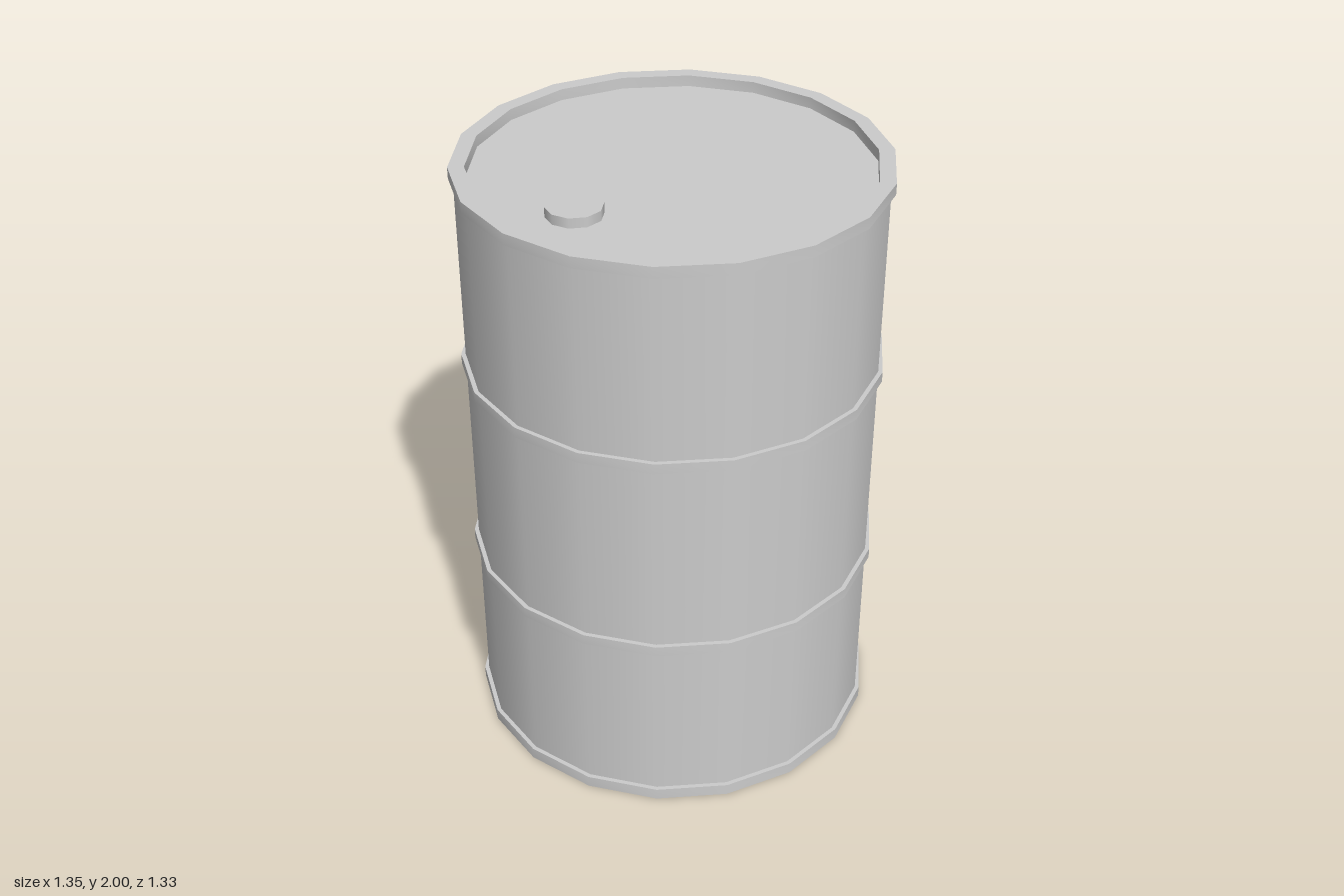
import * as THREE from 'three';
import { toCreasedNormals } from 'three/addons/utils/BufferGeometryUtils.js';

const SIDES = 18;
const START = Math.PI / 2; // puts a corner on the x axis
const BODY_R = 0.661;
const BAND_R = 0.675;

export function createModel() {
  const drum = new THREE.Group();
  drum.name = 'drum';
  const material = new THREE.MeshStandardMaterial({ color: 0xcccccc });

  function add(name, geometry, x = 0, y = 0, z = 0) {
    const mesh = new THREE.Mesh(geometry, material);
    mesh.name = name;
    mesh.position.set(x, y, z);
    drum.add(mesh);
  }

  // Solid of given radius between two heights
  function disc(name, radius, y0, y1, sides, x = 0, z = 0) {
    const geometry = new THREE.CylinderGeometry(radius, radius, y1 - y0, sides, 1, false, START);
    add(name, geometry, x, (y0 + y1) / 2, z);
  }

  // Square-section ring around the drum
  function ring(name, inner, y0, y1) {
    const profile = [[inner, y0], [BAND_R, y0], [BAND_R, y1], [inner, y1], [inner, y0]]
      .map(([r, y]) => new THREE.Vector2(r, y));
    const geometry = new THREE.LatheGeometry(profile, SIDES, START);
    add(name, toCreasedNormals(geometry, Math.PI / 6));
  }

  // Barrel with its recessed lid and base
  disc('body', BODY_R, 0.02, 1.963, SIDES);

  // Rims and the two hoops between them
  ring('baseRim', 0.65, 0, 0.04);
  ring('lowerHoop', 0.65, 0.62, 0.655);
  ring('upperHoop', 0.65, 1.315, 1.35);
  ring('topRim', 0.625, 1.963, 2);

  // Filler cap on the lid
  disc('fillerCap', 0.087, 1.955, 1.995, 10, -0.41, 0.006);

  return drum;
}
